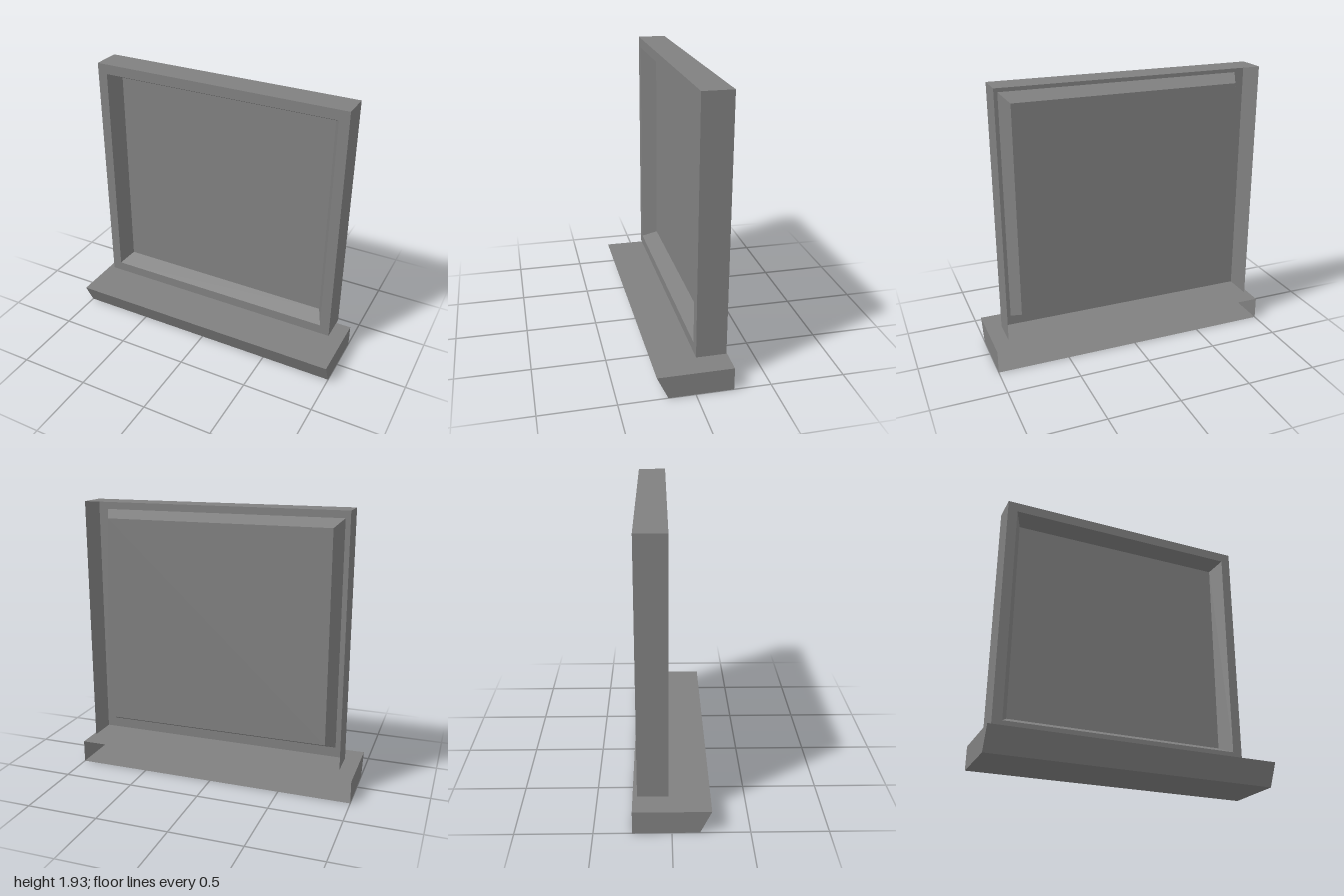
import * as THREE from 'three';

// Four corners, counter-clockwise seen from the front; the lower edge may have its own z.
function rect(halfWidth, bottom, top, zTop, zBottom = zTop) {
  return [
    [-halfWidth, bottom, zBottom],
    [halfWidth, bottom, zBottom],
    [halfWidth, top, zTop],
    [-halfWidth, top, zTop],
  ];
}

// Faceted skin through successive rectangles, closed by the last one; the first stays open.
function shell(loops) {
  const positions = [];
  const quad = (a, b, c, d) => positions.push(...a, ...b, ...c, ...a, ...c, ...d);
  for (let k = 0; k < loops.length - 1; k++) {
    for (let i = 0; i < 4; i++) {
      const j = (i + 1) % 4;
      quad(loops[k][i], loops[k][j], loops[k + 1][j], loops[k + 1][i]);
    }
  }
  quad(...loops[loops.length - 1]);
  const geometry = new THREE.BufferGeometry();
  geometry.setAttribute('position', new THREE.Float32BufferAttribute(positions, 3));
  geometry.computeVertexNormals();
  return geometry;
}

export function createModel() {
  const group = new THREE.Group();
  group.name = 'windowWithSill';

  const grey = new THREE.MeshStandardMaterial({ color: 0x808080, side: THREE.DoubleSide, flatShading: true });
  grey.name = 'grey';

  const add = (name, loops) => {
    const mesh = new THREE.Mesh(shell(loops), grey);
    mesh.name = name;
    group.add(mesh);
  };

  // Open-backed frame: outer walls, front rim, bevelled reveal
  // and the recessed pane as the closing face
  add('windowFrame', [
    rect(0.912, 0.214, 1.928, -0.22),
    rect(0.912, 0.214, 1.928, -0.02),
    rect(0.843, 0.283, 1.858, -0.02),
    rect(0.79, 0.336, 1.806, -0.13),
  ]);

  // Open-backed sill whose front slopes back towards the bottom
  add('sill', [
    rect(1, 0, 0.157, -0.252),
    rect(1, 0, 0.157, 0.252, 0.178),
  ]);

  return group;
}
